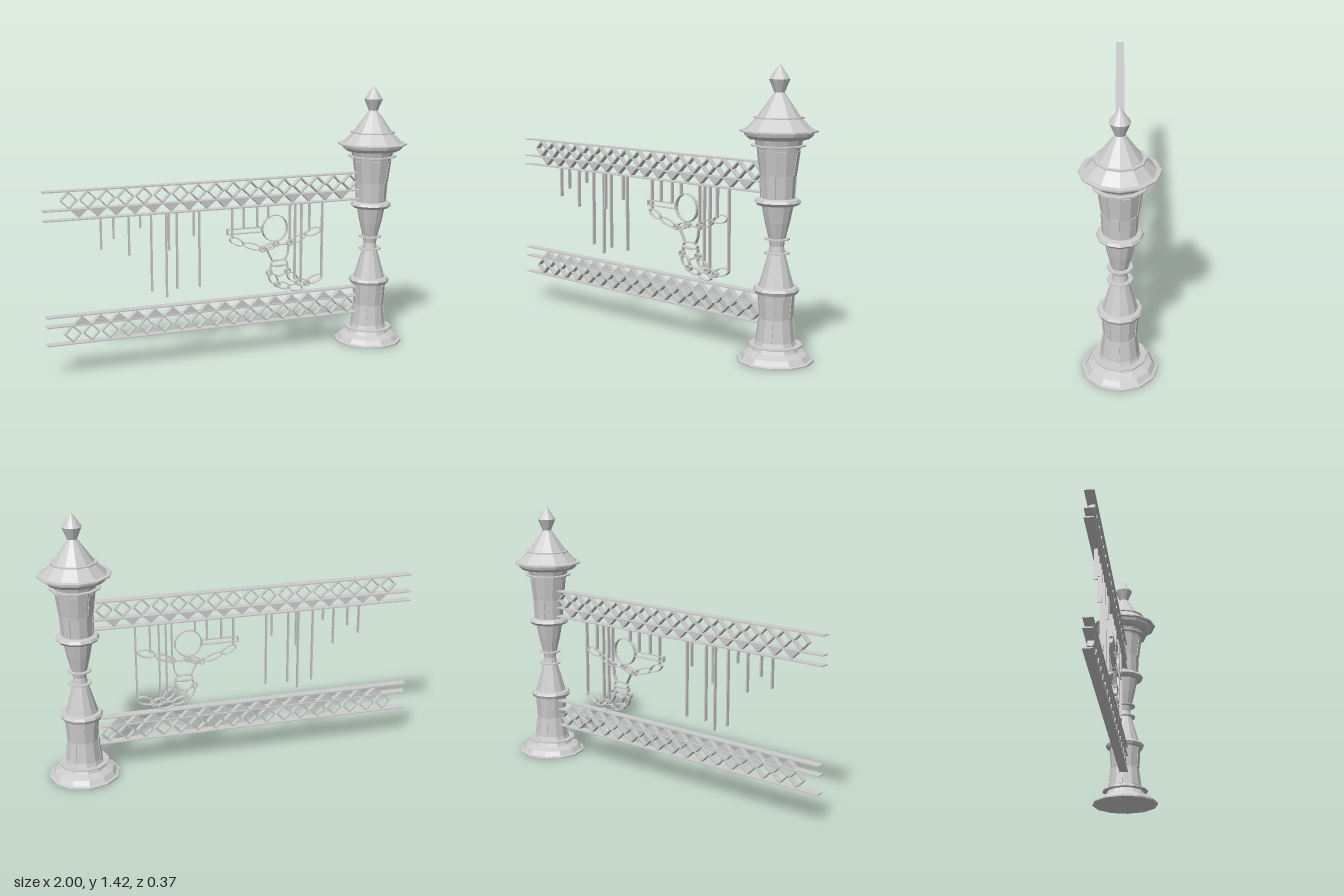
import * as THREE from 'three';

const mat = new THREE.MeshStandardMaterial({ color: 0xcccccc, flatShading: true, side: THREE.DoubleSide });
const SIDES = 12;

function add(parent, name, geometry, x = 0, y = 0, z = 0) {
  const mesh = new THREE.Mesh(geometry, mat);
  mesh.name = name;
  mesh.position.set(x, y, z);
  parent.add(mesh);
  return mesh;
}

function box(parent, name, x0, x1, y0, y1, depth) {
  return add(parent, name, new THREE.BoxGeometry(x1 - x0, y1 - y0, depth), (x0 + x1) / 2, (y0 + y1) / 2);
}

function extrude(parent, name, shape, depth, x = 0, y = 0) {
  const geo = new THREE.ExtrudeGeometry(shape, { depth, bevelEnabled: false, curveSegments: 10 });
  geo.translate(0, 0, -depth / 2);
  return add(parent, name, geo, x, y);
}

// Flat bar between two points in the xy plane
function bar(parent, name, a, b, thick, depth) {
  const dx = b[0] - a[0], dy = b[1] - a[1];
  const mesh = add(parent, name, new THREE.BoxGeometry(Math.hypot(dx, dy) + thick * 0.5, thick, depth),
    (a[0] + b[0]) / 2, (a[1] + b[1]) / 2);
  mesh.rotation.z = Math.atan2(dy, dx);
}

// Closed polygon frame made of bars
function frame(parent, name, pts, thick, depth) {
  pts.forEach((p, i) => bar(parent, name, p, pts[(i + 1) % pts.length], thick, depth));
}

// Hollow ellipse band whose long axis runs from a to b
function loop(parent, name, a, b, halfWidth, depth = 0.02, wall = 0.005) {
  const half = Math.hypot(b[0] - a[0], b[1] - a[1]) / 2;
  const shape = new THREE.Shape().absellipse(0, 0, half, halfWidth, 0, Math.PI * 2);
  shape.holes.push(new THREE.Path().absellipse(0, 0, half - wall, halfWidth - wall, 0, Math.PI * 2, true));
  const mesh = extrude(parent, name, shape, depth, (a[0] + b[0]) / 2, (a[1] + b[1]) / 2);
  mesh.rotation.z = Math.atan2(b[1] - a[1], b[0] - a[0]);
}

function ring(parent, name, c, r, depth) {
  loop(parent, name, [c[0] - r, c[1]], [c[0] + r, c[1]], r, depth);
}

// Turned post with collars, inset panels and finial
function createPost() {
  const post = new THREE.Group();
  post.name = 'post';
  post.position.x = 0.81;
  const profile = [
    [0, 0], [0.187, 0], [0.187, 0.008], [0.172, 0.012], [0.155, 0.035], [0.115, 0.05], [0.105, 0.07],
    [0.094, 0.1], [0.08, 0.21], [0.088, 0.33], [0.104, 0.333], [0.112, 0.35], [0.105, 0.363], [0.085, 0.366],
    [0.067, 0.43], [0.04, 0.525], [0.034, 0.56], [0.04, 0.595], [0.06, 0.675], [0.076, 0.757], [0.1, 0.76],
    [0.112, 0.774], [0.104, 0.788], [0.08, 0.792], [0.086, 0.9], [0.104, 1.03], [0.115, 1.07],
    [0.145, 1.074], [0.163, 1.09], [0.168, 1.105], [0.187, 1.107], [0.187, 1.114], [0.165, 1.116],
    [0.107, 1.172], [0.024, 1.29], [0.05, 1.352], [0, 1.425],
  ].map(([r, y]) => new THREE.Vector2(r, y));
  add(post, 'postBody', new THREE.LatheGeometry(profile, SIDES));

  for (const [r, y] of [[0.131, 0.078], [0.062, 0.527], [0.062, 0.595], [0.131, 1.042], [0.12, 1.173]]) {
    add(post, 'collar', new THREE.CylinderGeometry(r, r, 0.006, SIDES), 0, y);
  }

  // Panels alternate between an upper and a lower row around the shaft
  const rows = [
    [[0.1, 0.094, 0.21, 0.08], [0.215, 0.08, 0.33, 0.088]],
    [[0.795, 0.08, 0.9, 0.086], [0.9, 0.086, 1.02, 0.103]],
  ];
  rows.forEach((pair) => {
    for (let i = 0; i < SIDES; i++) {
      const [y0, r0, y1, r1] = pair[i % 2];
      const pivot = new THREE.Group();
      pivot.name = 'panelMount';
      pivot.rotation.y = ((i + 0.5) / SIDES) * Math.PI * 2;
      const k = Math.cos(Math.PI / SIDES);
      const panel = add(pivot, 'panel', new THREE.BoxGeometry(0.038, y1 - y0, 0.006),
        0, (y0 + y1) / 2, ((r0 + r1) / 2) * k + 0.001);
      panel.rotation.x = Math.atan2((r1 - r0) * k, y1 - y0);
      post.add(pivot);
    }
  });
  return post;
}

// Lattice beam: three rails, a row of open diamonds and a row of solid triangles
function createBeam(name, centre, dir) {
  const beam = new THREE.Group();
  beam.name = name;
  for (const off of [-0.048, 0.047, 0.097]) {
    const y = centre + dir * off;
    box(beam, 'rail', -1, 0.76, y - 0.003, y + 0.003, 0.048);
  }
  const step = 0.0965, h = 0.041;
  for (let i = 0; i < 17; i++) {
    const x = -0.87 + i * step;
    frame(beam, 'diamond', [[x - h, centre], [x, centre - h], [x + h, centre], [x, centre + h]], 0.007, 0.03);
    if (i === 16) continue;
    const y = centre + dir * 0.047;
    const tri = new THREE.Shape([[-0.046, 0], [0.046, 0], [0, dir * 0.044]].map((p) => new THREE.Vector2(...p)));
    extrude(beam, 'triangle', tri, 0.03, x + step / 2, y);
  }
  return beam;
}

// Jointed marionette drawn in thin hollow bands
function createPuppet() {
  const p = new THREE.Group();
  p.name = 'puppet';
  ring(p, 'head', [0.238, 0.682], 0.074);
  frame(p, 'nose', [[-0.032, 0.668], [0.163, 0.668], [0.163, 0.694], [-0.032, 0.694]], 0.005, 0.02);
  frame(p, 'torso', [[0.19, 0.575], [0.235, 0.59], [0.32, 0.59], [0.315, 0.54], [0.3, 0.505], [0.225, 0.505]], 0.005, 0.02);
  loop(p, 'waist', [0.215, 0.488], [0.315, 0.488], 0.02);
  frame(p, 'pelvis', [[0.215, 0.475], [0.315, 0.475], [0.31, 0.435], [0.265, 0.415], [0.215, 0.435]], 0.005, 0.02);
  const limbs = [
    ['rightHand', [-0.02, 0.645], [0.06, 0.605], 0.02],
    ['rightForearm', [0.055, 0.61], [0.16, 0.575], 0.018],
    ['rightUpperArm', [0.17, 0.572], [0.245, 0.595], 0.018],
    ['leftUpperArm', [0.325, 0.595], [0.42, 0.635], 0.018],
    ['leftHand', [0.415, 0.635], [0.51, 0.66], 0.022],
    ['rightThigh', [0.21, 0.435], [0.255, 0.37], 0.023],
    ['rightShin', [0.25, 0.37], [0.33, 0.35], 0.02],
    ['rightFoot', [0.315, 0.35], [0.405, 0.335], 0.02],
    ['leftThigh', [0.315, 0.43], [0.375, 0.375], 0.023],
    ['leftShin', [0.365, 0.375], [0.435, 0.36], 0.02],
    ['leftFoot', [0.425, 0.365], [0.52, 0.395], 0.022],
  ];
  for (const [name, a, b, w] of limbs) loop(p, name, a, b, w);
  const joints = [[0.245, 0.596], [0.325, 0.596], [0.168, 0.574], [0.208, 0.44], [0.315, 0.44],
    [0.255, 0.37], [0.378, 0.373], [0.43, 0.362]];
  for (const c of joints) ring(p, 'joint', c, 0.017, 0.024);
  return p;
}

export function createModel() {
  const model = new THREE.Group();
  model.name = 'puppetGateway';
  model.add(createPost(), createBeam('upperBeam', 0.907, -1), createBeam('lowerBeam', 0.218, 1), createPuppet());

  // Hanging strings: x position and lower end
  const strings = [
    [-0.71, 0.645], [-0.645, 0.695], [-0.565, 0.6], [-0.505, 0.74], [-0.447, 0.4], [-0.367, 0.36],
    [-0.353, 0.61], [-0.31, 0.4], [-0.217, 0.675], [-0.187, 0.4], [-0.005, 0.645], [0.06, 0.695],
    [0.137, 0.69], [0.2, 0.74], [0.325, 0.6], [0.356, 0.39], [0.393, 0.37], [0.44, 0.65], [0.516, 0.395],
  ];
  for (const [x, y] of strings) box(model, 'string', x - 0.0035, x + 0.0035, y, 0.81, 0.02);
  return model;
}
